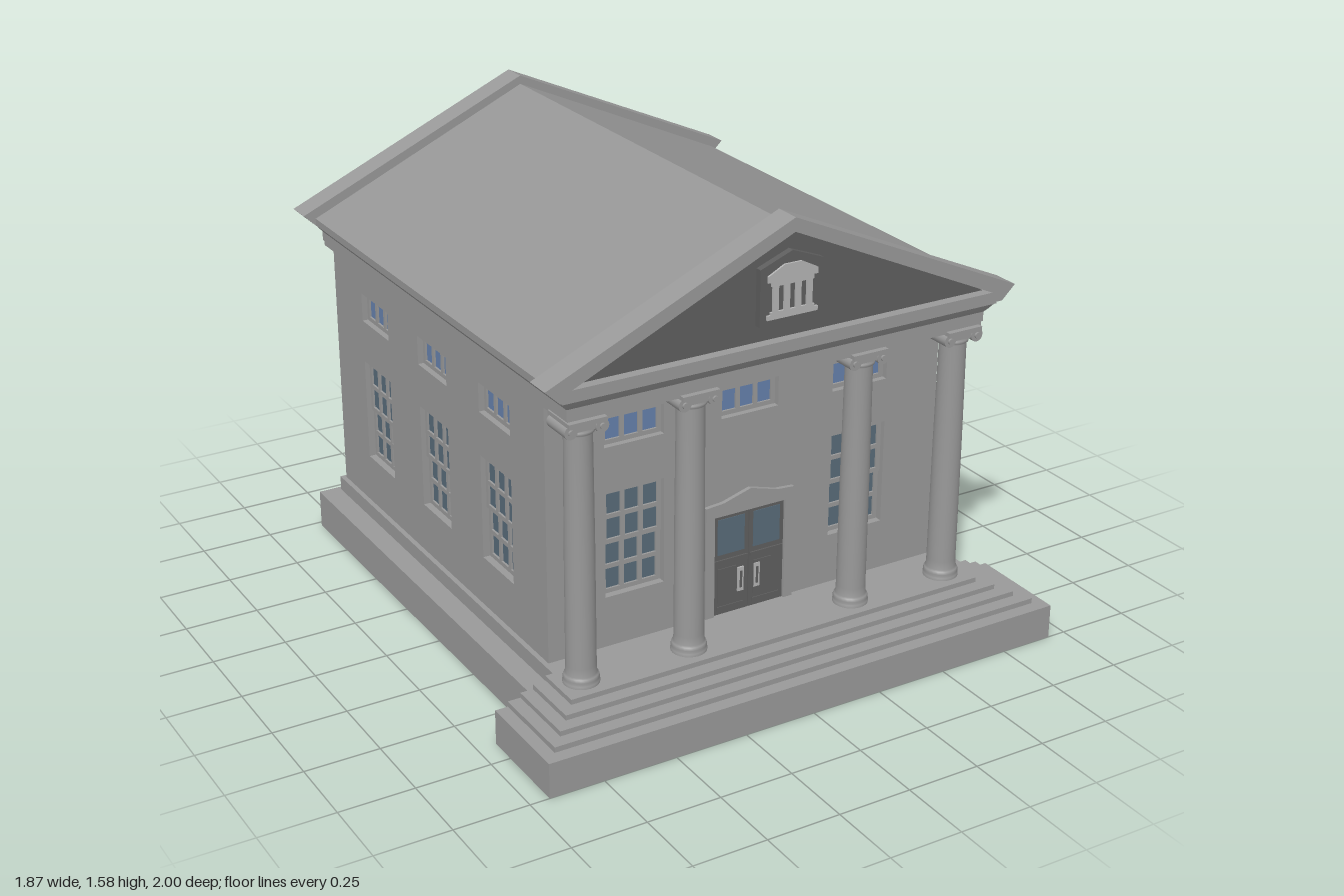
import * as THREE from 'three';

const flat = (name, color, extra = {}) => new THREE.MeshStandardMaterial({ name, color, ...extra });

export function createModel() {
  const stone = flat('stone', 0x999999);
  const roofGrey = flat('roof grey', 0x969696);
  const dark = flat('dark grey', 0x5e5e5e);
  const pale = flat('pale grey', 0xb4b4b4);
  const lowerGlass = flat('slate glass', 0x586b79);
  const upperGlass = flat('blue glass', 0x6580ab);

  const model = new THREE.Group();
  model.name = 'templeFrontBuilding';

  const add = (parent, name, geo, mat, x = 0, y = 0, z = 0) => {
    const m = new THREE.Mesh(geo, mat);
    m.name = name;
    m.position.set(x, y, z);
    parent.add(m);
    return m;
  };
  const group = (parent, name, x = 0, y = 0, z = 0) => {
    const g = new THREE.Group();
    g.name = name;
    g.position.set(x, y, z);
    parent.add(g);
    return g;
  };
  // box given by its limits
  const block = (parent, name, mat, x0, x1, y0, y1, z0, z1) =>
    add(parent, name, new THREE.BoxGeometry(x1 - x0, y1 - y0, z1 - z0), mat,
      (x0 + x1) / 2, (y0 + y1) / 2, (z0 + z1) / 2);
  const poly = (pts) => new THREE.Shape(pts.map(([x, y]) => new THREE.Vector2(x, y)));
  const rect = (x0, x1, y0, y1) => [[x0, y0], [x1, y0], [x1, y1], [x0, y1]];
  const extrude = (pts, holes, depth) => {
    const s = poly(pts);
    s.holes = holes.map(poly);
    return new THREE.ExtrudeGeometry(s, { depth, bevelEnabled: false });
  };

  // Foundation and front steps
  block(model, 'foundation', stone, -0.81, 0.835, 0, 0.135, -0.975, 0.68);
  block(model, 'plinth', stone, -0.735, 0.745, 0.13, 0.187, -0.955, 0.7);
  [0.118, 0.136, 0.153, 0.17, 0.187].forEach((top, i) => {
    const hw = 0.935 - i * 0.0435;
    block(model, 'step', stone, -hw, hw, i ? 0.1 : 0, top, 0.655, 1 - i * 0.045);
  });

  const house = group(model, 'house', 0.006);

  // Sash: frame with a grid of panes over a glass plate
  const sash = (parent, x, y0, w, h, cols, rows, z, glass) => {
    const bar = 0.015;
    const pw = (w - bar * (cols + 1)) / cols, ph = (h - bar * (rows + 1)) / rows;
    const holes = [];
    for (let c = 0; c < cols; c++) for (let r = 0; r < rows; r++) {
      const px = x - w / 2 + bar + c * (pw + bar), py = y0 + bar + r * (ph + bar);
      holes.push(rect(px, px + pw, py, py + ph));
    }
    add(parent, 'windowFrame', extrude(rect(x - w / 2, x + w / 2, y0, y0 + h), holes, 0.01), stone, 0, 0, z);
    add(parent, 'windowGlass', new THREE.BoxGeometry(w, h, 0.004), glass, x, y0 + h / 2, z + 0.001);
  };

  // Wall with recessed windows; local +z faces outward
  const wall = (name, width, tall, high, x, z, turn) => {
    const g = group(house, name, x, 0, z);
    g.rotation.y = turn;
    const W = 0.21;
    const holes = [
      ...tall.map((c) => rect(c - W / 2, c + W / 2, 0.36, 0.72)),
      ...high.map((c) => rect(c - W / 2, c + W / 2, 0.87, 0.97)),
    ];
    add(g, 'wallPanel', extrude(rect(-width / 2, width / 2, 0.18, 1.09), holes, 0.04), stone, 0, 0, -0.04);
    for (const c of tall) {
      sash(g, c, 0.36, W, 0.185, 3, 2, -0.034, lowerGlass);
      sash(g, c, 0.535, W, 0.185, 3, 2, -0.027, lowerGlass);
    }
    for (const c of high) sash(g, c, 0.87, W, 0.1, 3, 1, -0.03, upperGlass);
    return g;
  };
  const HW = 0.724, ZF = 0.596, ZB = -0.94, ZM = (ZF + ZB) / 2;
  const three = [-0.416, 0, 0.416], side = [-0.44, 0, 0.44];
  const front = wall('frontWall', HW * 2, [three[0], three[2]], three, 0, ZF, 0);
  wall('backWall', HW * 2, three, three, 0, ZB, Math.PI);
  wall('leftWall', ZF - ZB - 0.002, side, side, HW, ZM, Math.PI / 2);
  wall('rightWall', ZF - ZB - 0.002, side, side, -HW, ZM, -Math.PI / 2);

  // Doorway with pointed surround and double doors
  const door = group(front, 'doorway');
  add(door, 'doorSurround', extrude(
    [[-0.165, 0.185], [-0.132, 0.185], [-0.132, 0.54], [0.132, 0.54], [0.132, 0.185], [0.165, 0.185],
      [0.165, 0.58], [0.1, 0.585], [0, 0.614], [-0.1, 0.585], [-0.165, 0.58]], [], 0.014), stone);
  for (const s of [-1, 1]) {
    const leaf = group(door, 'doorLeaf', s * 0.0665);
    block(leaf, 'doorPanel', dark, -0.065, 0.065, 0.185, 0.54, 0, 0.005);
    block(leaf, 'doorGlass', lowerGlass, -0.05, 0.05, 0.4, 0.525, 0.004, 0.007);
    block(leaf, 'doorRail', dark, -0.062, 0.062, 0.37, 0.382, 0.004, 0.01);
    block(leaf, 'lowerPanel', dark, -0.048, 0.02, 0.23, 0.35, 0.004, 0.008);
    block(leaf, 'kickPlate', dark, -0.05, 0.05, 0.2, 0.215, 0.004, 0.008);
    block(leaf, 'doorHandle', pale, -s * 0.036 - 0.011, -s * 0.036 + 0.011, 0.255, 0.34, 0.004, 0.011);
    block(leaf, 'handleGrip', dark, -s * 0.036 - 0.004, -s * 0.036 + 0.004, 0.268, 0.327, 0.01, 0.013);
  }

  // Columns with scrolled capitals
  const shaft = new THREE.LatheGeometry([
    [0.058, 0.185], [0.058, 0.197], [0.054, 0.2], [0.057, 0.208], [0.054, 0.217], [0.049, 0.222],
    [0.048, 0.25], [0.047, 0.65], [0.044, 1.02], [0.05, 1.026], [0.05, 1.034], [0.045, 1.04], [0.045, 1.06],
  ].map(([r, y]) => new THREE.Vector2(r, y)), 24);
  const scroll = new THREE.CylinderGeometry(0.022, 0.022, 0.11, 16).rotateX(Math.PI / 2);
  const eye = new THREE.CylinderGeometry(0.01, 0.01, 0.124, 12).rotateX(Math.PI / 2);
  for (const x of [-0.68, -0.297, 0.315, 0.678]) {
    const col = group(model, 'column', x, 0, 0.735);
    add(col, 'columnShaft', shaft, stone);
    block(col, 'capitalBand', stone, -0.052, 0.052, 1.042, 1.068, -0.052, 0.052);
    block(col, 'abacus', stone, -0.064, 0.064, 1.063, 1.078, -0.064, 0.064);
    for (const s of [-1, 1]) {
      add(col, 'scroll', scroll, stone, s * 0.052, 1.047);
      add(col, 'scrollEye', eye, stone, s * 0.052, 1.047);
    }
  }

  // Entablature: stacked bands, each flaring from offset a to offset b
  const entablature = group(house, 'entablature', 0, 0, -0.0925);
  for (const [y0, y1, a, b] of [[1.07, 1.088, 0, 0], [1.088, 1.12, 0.004, 0.004],
    [1.12, 1.132, 0.004, 0.014], [1.132, 1.152, 0.014, 0.028], [1.152, 1.172, 0.032, 0.032]]) {
    const geo = new THREE.BoxGeometry(1, y1 - y0, 1);
    const p = geo.attributes.position;
    for (let i = 0; i < p.count; i++) {
      const o = p.getY(i) > 0 ? b : a;
      p.setX(i, p.getX(i) * 2 * (0.745 + o));
      p.setZ(i, p.getZ(i) * 2 * (0.873 + o));
    }
    geo.computeVertexNormals();
    add(entablature, 'corniceBand', geo, stone, 0, (y0 + y1) / 2);
  }

  // Roof
  add(house, 'roof', extrude([[-0.795, 1.168], [0.795, 1.168], [0.795, 1.192], [0, 1.55], [-0.795, 1.192]],
    [], 1.66), roofGrey, 0, 0, -0.92);

  // Gables: raised triangular frames with a recessed panel
  const frame = extrude([[-0.79, 1.162], [0.79, 1.162], [0.838, 1.208], [0, 1.58], [-0.838, 1.208]],
    [[[-0.75, 1.196], [0.75, 1.196], [0, 1.535]]], 0.09);
  const infill = extrude([[-0.77, 1.18], [0.77, 1.18], [0, 1.55]], [], 0.04);
  add(house, 'frontGableFrame', frame, stone, 0, 0, 0.732);
  add(house, 'frontGablePanel', infill, dark, 0, 0, 0.748);
  add(house, 'backGableFrame', frame, stone, 0, 0, -1);
  add(house, 'backGablePanel', infill, stone, 0, 0, -0.978);

  // Gable plaque with a small temple relief
  const plaque = group(house, 'gablePlaque', 0, 0, 0.785);
  add(plaque, 'plaqueBoard', extrude(
    [[-0.112, 1.25], [0.112, 1.25], [0.112, 1.432], [0, 1.475], [-0.112, 1.432]], [], 0.025), dark);
  const relief = (name, pts) => add(plaque, name, extrude(pts, [], 0.008), pale, 0, 0, 0.024);
  relief('reliefPediment', [[-0.088, 1.388], [0.088, 1.388], [0.088, 1.408], [0.03, 1.438], [-0.03, 1.438], [-0.088, 1.408]]);
  relief('reliefLintel', rect(-0.075, 0.075, 1.374, 1.389));
  relief('reliefStep', rect(-0.078, 0.078, 1.284, 1.294));
  relief('reliefBase', rect(-0.09, 0.09, 1.27, 1.285));
  for (const x of [-0.06, -0.02, 0.02, 0.06]) relief('reliefColumn', rect(x - 0.01, x + 0.01, 1.293, 1.375));

  return model;
}
